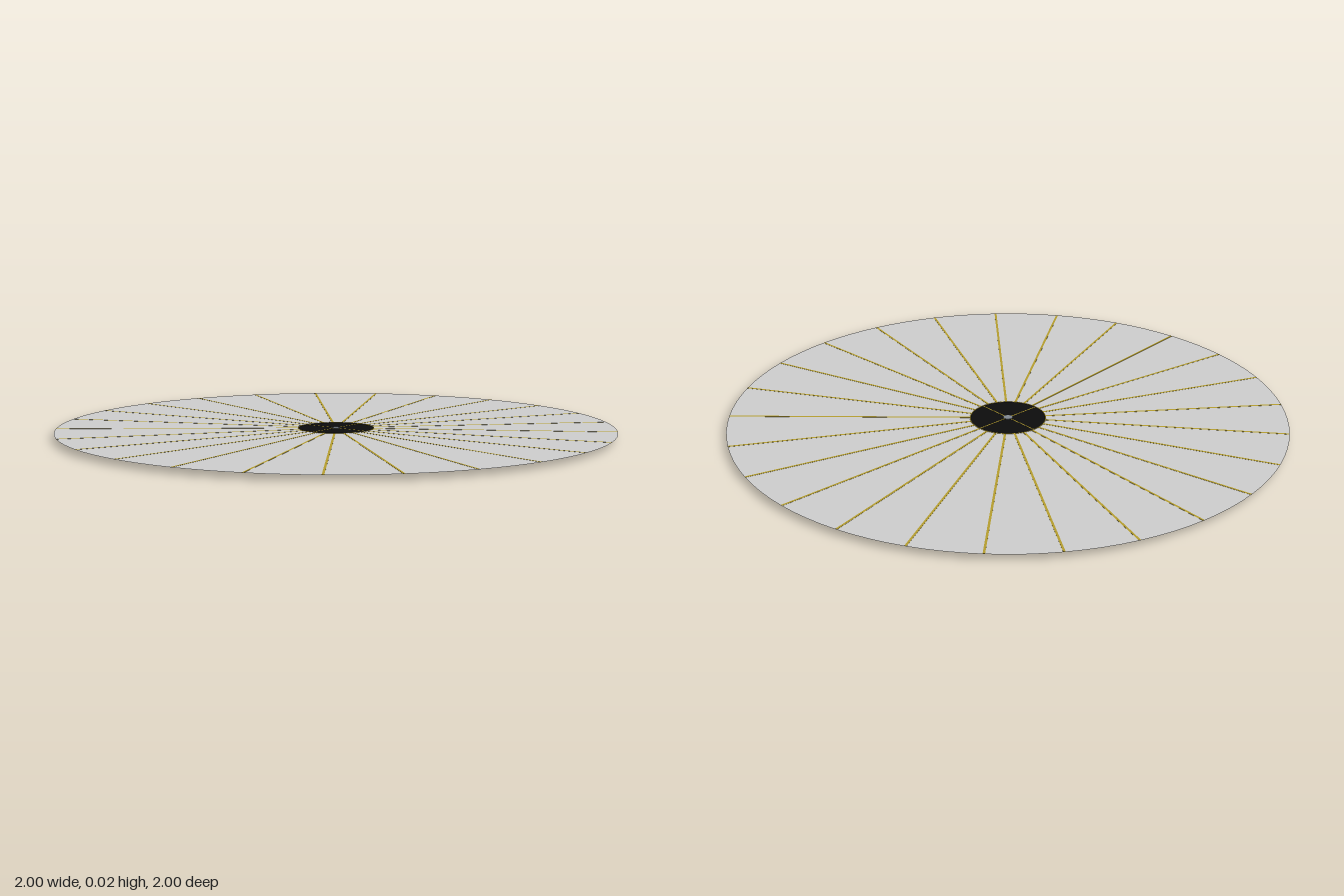
import * as THREE from 'three';

const SAIL_Y = 0.02;
const HUB_R = 0.135;
const SPOKES = 25;

const grey = new THREE.MeshStandardMaterial({ color: 0xcccccc, side: THREE.DoubleSide });
const black = new THREE.MeshStandardMaterial({ color: 0x0c0c0c, side: THREE.DoubleSide });
const gold = new THREE.MeshStandardMaterial({ color: 0xb39c2e });
const steel = new THREE.MeshStandardMaterial({ color: 0x808890 });

function add(parent, name, geometry, material) {
  const mesh = new THREE.Mesh(geometry, material);
  mesh.name = name;
  parent.add(mesh);
  return mesh;
}

// Thin flat bar running outward from the centre, between two radii
function radialBar(parent, name, inner, outer, width, angle) {
  const geometry = new THREE.BoxGeometry(outer - inner, 0.001, width);
  geometry.translate((inner + outer) / 2, SAIL_Y, 0);
  geometry.rotateY(angle);
  add(parent, name, geometry, gold);
}

export function createModel() {
  const model = new THREE.Group();
  model.name = 'sail';

  // Paper-thin reflective sheet around the hub
  const sheet = new THREE.RingGeometry(HUB_R, 1, 100, 1).rotateX(-Math.PI / 2);
  add(model, 'sailSheet', sheet, grey).position.y = SAIL_Y;

  // Dark central disc with a fine gold rim
  const disc = new THREE.CircleGeometry(HUB_R, 64).rotateX(-Math.PI / 2);
  add(model, 'hubDisc', disc, black).position.y = SAIL_Y;
  const rim = new THREE.TorusGeometry(HUB_R, 0.0015, 6, 64).rotateX(Math.PI / 2);
  add(model, 'hubRim', rim, gold).position.y = SAIL_Y;

  // Radial ribs on the sheet
  const ribs = new THREE.Group();
  ribs.name = 'ribs';
  for (let i = 0; i < SPOKES; i++) {
    radialBar(ribs, 'rib', HUB_R, 0.998, 0.008, (i / SPOKES) * Math.PI * 2);
  }
  model.add(ribs);

  // Four struts crossing the hub disc
  const struts = new THREE.Group();
  struts.name = 'hubStruts';
  for (let i = 0; i < 4; i++) {
    radialBar(struts, 'hubStrut', 0.012, HUB_R, 0.004, (i * Math.PI) / 2);
  }
  model.add(struts);

  // Small bowl-shaped pod hanging under the centre, closed just above the sheet
  const profile = [];
  for (let i = 0; i <= 8; i++) {
    const a = (i / 8) * (Math.PI / 2);
    profile.push(new THREE.Vector2(0.016 * Math.sin(a), SAIL_Y * (1 - Math.cos(a))));
  }
  profile.push(new THREE.Vector2(0.016, 0.022));
  add(model, 'podBowl', new THREE.LatheGeometry(profile, 24), steel);
  const lid = new THREE.CircleGeometry(0.016, 24).rotateX(-Math.PI / 2);
  add(model, 'podLid', lid, steel).position.y = 0.022;

  return model;
}
